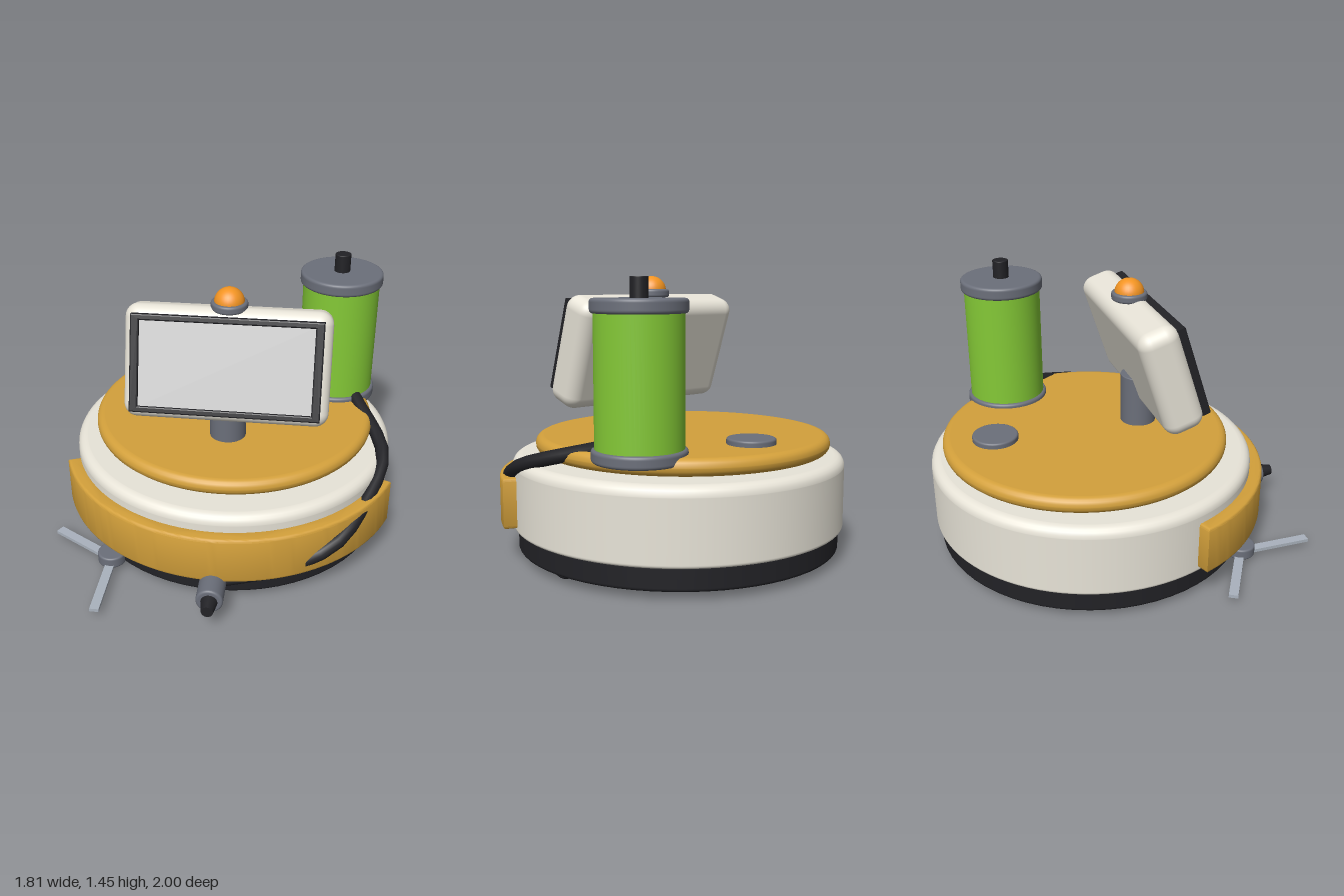
import * as THREE from 'three';
import { toCreasedNormals } from 'three/addons/utils/BufferGeometryUtils.js';
import { RoundedBoxGeometry } from 'three/addons/geometries/RoundedBoxGeometry.js';

const mat = (color) => new THREE.MeshStandardMaterial({ color });
const CX = 0.03, CZ = -0.125; // centre of the round body

// Solid of revolution with rounded rims, standing from y0 to y1
function disc(r, y0, y1, bottom, top = bottom, sides = 64) {
  const e = 0.003, pts = [new THREE.Vector2(0, y0), new THREE.Vector2(r - bottom - e, y0)];
  const corner = (b, cy, start) => {
    for (let i = 0; i <= 5; i++) {
      const a = start + (i / 5) * Math.PI / 2;
      pts.push(new THREE.Vector2(r - b + b * Math.cos(a), cy + b * Math.sin(a)));
    }
  };
  corner(bottom, y0 + bottom, -Math.PI / 2);
  pts.push(new THREE.Vector2(r, y0 + bottom + e), new THREE.Vector2(r, y1 - top - e));
  corner(top, y1 - top, 0);
  pts.push(new THREE.Vector2(r - top - e, y1), new THREE.Vector2(0, y1));
  return new THREE.LatheGeometry(pts, sides);
}

export function createModel() {
  const model = new THREE.Group();
  model.name = 'cleaningRobot';
  const cream = mat(0xe8e4d8), yellow = mat(0xd3a03b), black = mat(0x222226), grey = mat(0x6b6f7a);
  const green = mat(0x84c936), orange = mat(0xf29422), steel = mat(0xaab2bd), glass = mat(0xcccccc);

  const add = (name, geometry, material, x = 0, y = 0, z = 0, parent = model) => {
    const mesh = new THREE.Mesh(geometry, material);
    mesh.name = name;
    mesh.position.set(x, y, z);
    parent.add(mesh);
    return mesh;
  };

  // Round body, stacked from the floor up
  add('base', disc(0.85, 0.04, 0.165, 0.015), black, CX, 0, CZ);
  add('body', disc(0.873, 0.155, 0.53, 0.015, 0.05, 96), cream, CX, 0, CZ);
  add('spacerRing', disc(0.63, 0.5, 0.56, 0.005), grey, CX, 0, CZ);
  add('lid', disc(0.77, 0.55, 0.635, 0.04, 0.04, 96), yellow, CX, 0, -0.16);
  add('lidButton', disc(0.122, 0.62, 0.665, 0.01, 0.01, 40), grey, CX, 0, -0.655);

  // Drive wheels, mostly sunk in the base
  for (const side of [-1, 1]) {
    const wheel = add('wheel', disc(0.12, -0.043, 0.043, 0.015, 0.015, 40), black, CX + side * 0.75, 0.12, -0.155);
    wheel.rotation.z = Math.PI / 2;
  }

  // Curved bumper around the front
  const a0 = 0.38, a1 = Math.PI - a0, bevel = 0.015;
  const arc = new THREE.Shape();
  arc.absarc(0, 0, 0.925, a0, a1, false);
  arc.absarc(0, 0, 0.875, a1, a0, true);
  arc.closePath();
  const bumper = new THREE.ExtrudeGeometry(arc, {
    depth: 0.23, bevelSize: bevel, bevelThickness: bevel, bevelSegments: 3, curveSegments: 40,
  });
  bumper.rotateX(Math.PI / 2);
  add('bumper', toCreasedNormals(bumper, 0.6), yellow, CX, 0.425, CZ);

  // Tilted display on a post
  add('post', disc(0.096, 0.62, 0.91, 0.005, 0.005, 40), grey, CX, 0, 0.145);
  const display = new THREE.Group();
  display.name = 'display';
  display.position.set(CX, 1.057, 0.15);
  display.rotation.x = -0.318;
  model.add(display);
  add('displayHousing', new RoundedBoxGeometry(1.05, 0.585, 0.215, 5, 0.07), cream, 0, 0, 0, display);
  const frame = new THREE.Shape();
  const rect = (path, w, h) => path.moveTo(-w / 2, -h / 2).lineTo(w / 2, -h / 2)
    .lineTo(w / 2, h / 2).lineTo(-w / 2, h / 2).closePath();
  rect(frame, 0.95, 0.485);
  const opening = new THREE.Path();
  rect(opening, 0.89, 0.45);
  frame.holes.push(opening);
  add('displayFrame', new THREE.ExtrudeGeometry(frame, {
    depth: 0.045, bevelSize: 0.007, bevelThickness: 0.007, bevelSegments: 2,
  }), black, 0, -0.003, 0.094, display);
  add('screen', new THREE.BoxGeometry(0.9, 0.46, 0.04), glass, 0, -0.003, 0.11, display);

  // Warning light on the display
  add('lightBase', disc(0.094, 1.335, 1.378, 0.012, 0.012, 40), grey, CX, 0, 0.09);
  add('lightDome', new THREE.SphereGeometry(0.078, 32, 12, 0, Math.PI * 2, 0, Math.PI / 2), orange, CX, 1.37, 0.09);

  // Liquid tank with caps and filler knob
  const tank = new THREE.Group();
  tank.name = 'tank';
  tank.position.set(0.588, 0, -0.475);
  model.add(tank);
  add('tankBottomCap', disc(0.226, 0.595, 0.658, 0.015), grey, 0, 0, 0, tank);
  add('tankCylinder', disc(0.21, 0.65, 1.285, 0.005), green, 0, 0, 0, tank);
  add('tankTopCap', disc(0.226, 1.275, 1.343, 0.015), grey, 0, 0, 0, tank);
  add('fillerKnob', disc(0.043, 1.33, 1.44, 0.004, 0.004, 32), black, 0, 0, 0, tank);

  // Spray nozzle at the front
  const nozzle = new THREE.Group();
  nozzle.name = 'nozzle';
  nozzle.position.set(CX, 0.153, 0);
  nozzle.rotation.x = Math.PI / 2;
  model.add(nozzle);
  add('nozzleBody', disc(0.068, 0.68, 0.93, 0.012, 0.012, 32), grey, 0, 0, 0, nozzle);
  add('nozzleTip', new THREE.CylinderGeometry(0.03, 0.045, 0.085, 24), black, 0, 0.957, 0, nozzle);

  // Hose from the tank, through the bumper, to the nozzle
  const route = new THREE.CatmullRomCurve3([
    [0.70, 0.65, -0.33], [0.86, 0.53, 0.09], [0.78, 0.42, 0.36],
    [0.62, 0.31, 0.615], [0.33, 0.18, 0.69], [0.06, 0.15, 0.76],
  ].map((p) => new THREE.Vector3(...p)));
  add('hose', new THREE.TubeGeometry(route, 16, 0.036, 10), black);

  // Side brush with three blades
  const brush = new THREE.Group();
  brush.name = 'sideBrush';
  brush.position.set(-0.548, 0, 0.54);
  model.add(brush);
  add('brushHub', disc(0.075, 0.034, 0.095, 0.01, 0.01, 32), grey, 0, 0, 0, brush);
  for (let i = 0; i < 3; i++) {
    const blade = new THREE.BoxGeometry(0.048, 0.018, 0.4);
    blade.translate(0, 0, 0.2);
    add('brushBlade', blade, steel, 0, 0.043, 0, brush).rotation.y = (i * Math.PI * 2) / 3;
  }
  return model;
}
